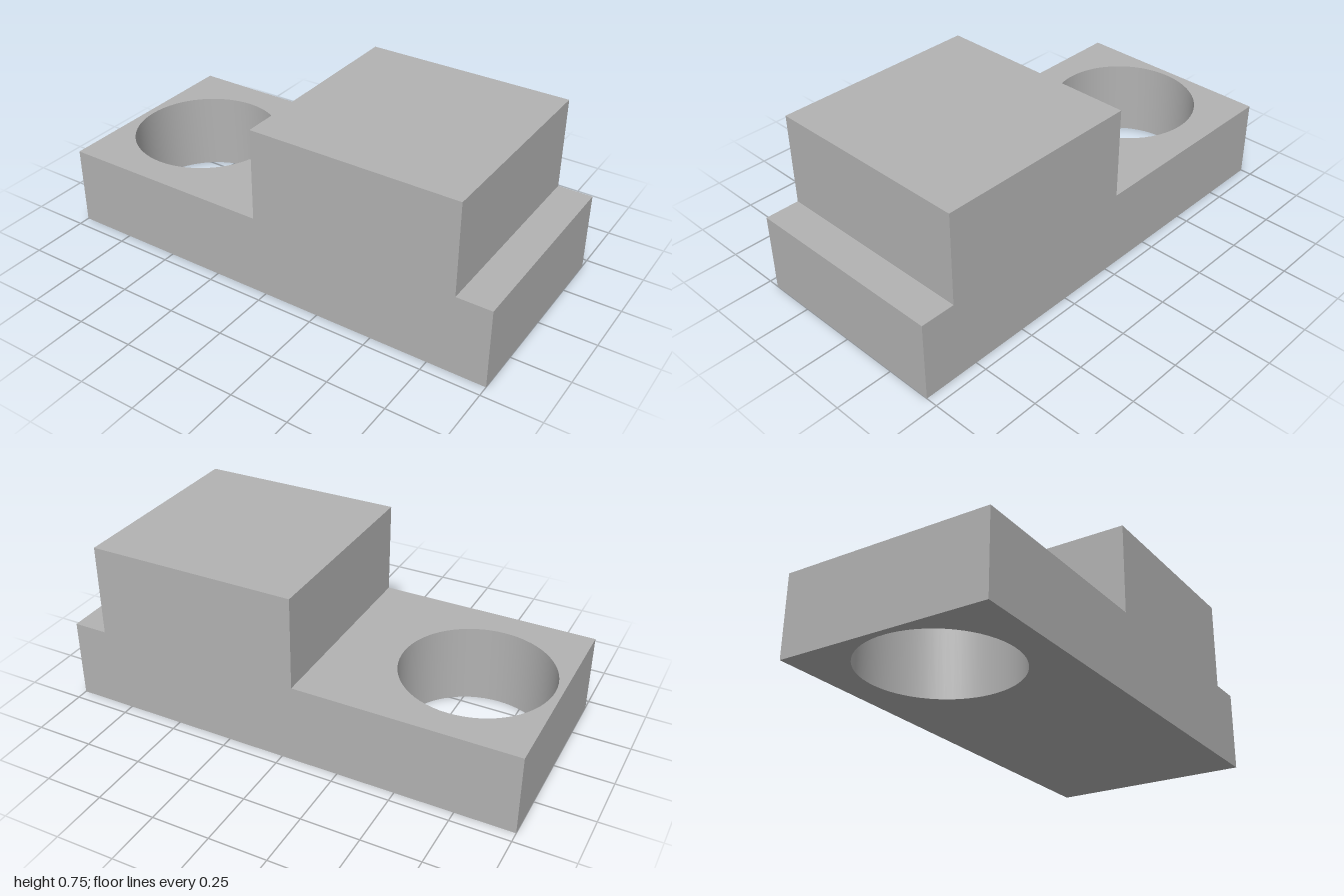
import * as THREE from 'three';
import { toCreasedNormals } from 'three/addons/utils/BufferGeometryUtils.js';

const LENGTH = 2, DEPTH = 0.9, BASE_HEIGHT = 0.35, TOTAL_HEIGHT = 0.75;
const HOLE_X = -0.65, HOLE_RADIUS = 0.32;
const BLOCK_LEFT = -0.05, BLOCK_RIGHT = 0.85;

export function createModel() {
  const model = new THREE.Group();
  model.name = 'steppedBlock';
  const grey = new THREE.MeshStandardMaterial({ color: 0xb2b2b2 });
  grey.name = 'grey';

  // Base plate: rectangle with a round through hole, extruded upward
  const outline = new THREE.Shape([
    new THREE.Vector2(-LENGTH / 2, -DEPTH / 2),
    new THREE.Vector2(LENGTH / 2, -DEPTH / 2),
    new THREE.Vector2(LENGTH / 2, DEPTH / 2),
    new THREE.Vector2(-LENGTH / 2, DEPTH / 2),
  ]);
  const hole = new THREE.Path();
  hole.absarc(HOLE_X, 0, HOLE_RADIUS, 0, Math.PI * 2, true);
  outline.holes.push(hole);
  const plate = new THREE.ExtrudeGeometry(outline, {
    depth: BASE_HEIGHT, bevelEnabled: false, curveSegments: 32,
  });
  plate.rotateX(-Math.PI / 2);
  const base = new THREE.Mesh(toCreasedNormals(plate, Math.PI / 6), grey);
  base.name = 'basePlate';
  model.add(base);

  // Raised block, flush with the front and back of the plate
  const height = TOTAL_HEIGHT - BASE_HEIGHT;
  const block = new THREE.Mesh(
    new THREE.BoxGeometry(BLOCK_RIGHT - BLOCK_LEFT, height, DEPTH), grey);
  block.position.set((BLOCK_LEFT + BLOCK_RIGHT) / 2, BASE_HEIGHT + height / 2, 0);
  block.name = 'raisedBlock';
  model.add(block);

  return model;
}
